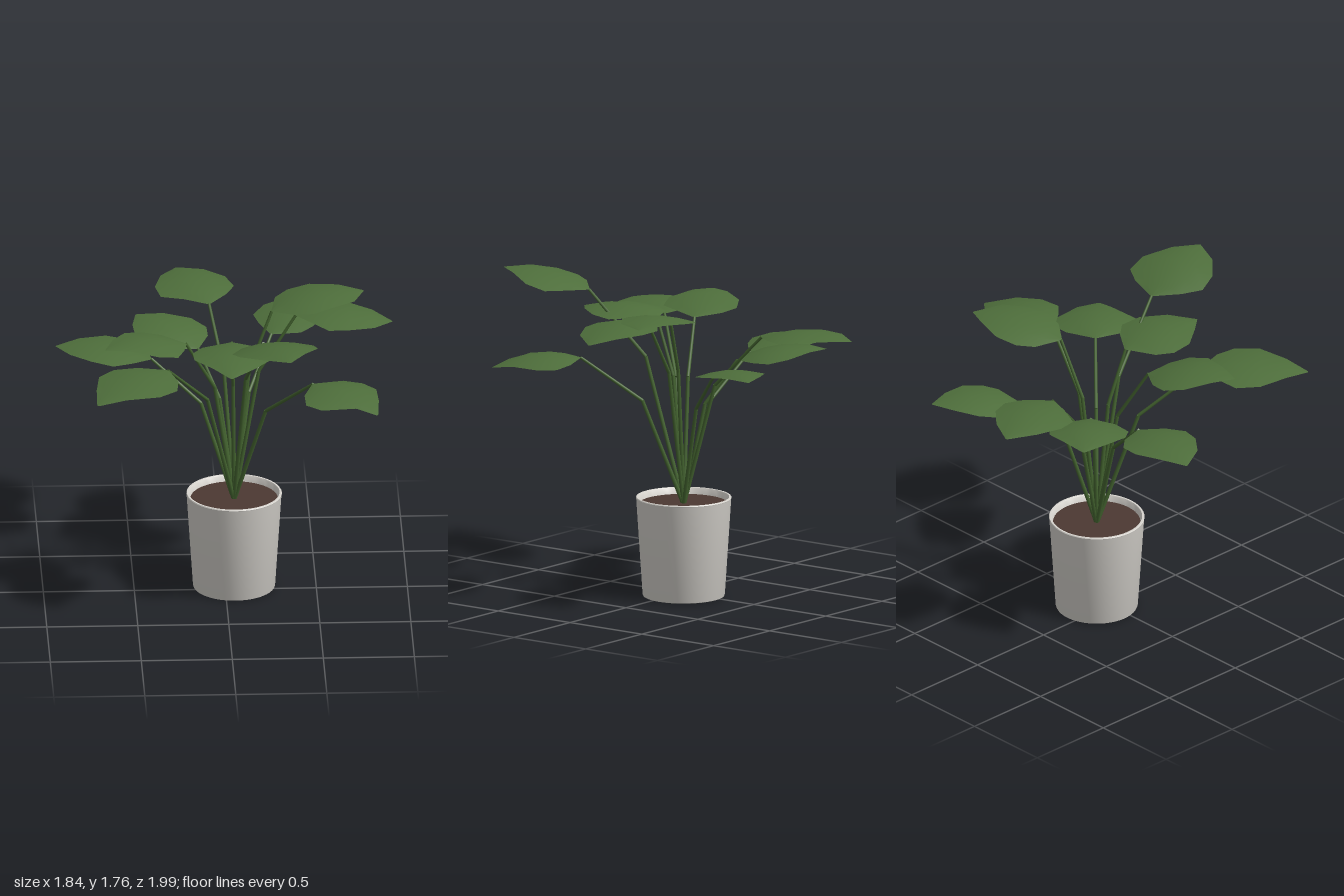
import * as THREE from 'three';
import { toCreasedNormals } from 'three/addons/utils/BufferGeometryUtils.js';

const CX = 0.05, CZ = -0.05; // pot axis

// One entry per leaf: base point, tip point, and half widths (near base, middle,
// near tip) of its left and right side as fractions of the leaf length.
const LEAVES = [
  { base: [-0.07, 1.49, -0.50], tip: [-0.23, 1.50, -1.00], left: [0.22, 0.43, 0.25], right: [0.25, 0.40, 0.23] },
  { base: [0.27, 1.33, -0.44], tip: [0.51, 1.375, -0.86], left: [0.24, 0.41, 0.23], right: [0.30, 0.38, 0.19] },
  { base: [0.26, 1.60, -0.12], tip: [0.77, 1.64, -0.30], left: [0.29, 0.39, 0.20], right: [0.24, 0.35, 0.26] },
  { base: [0.39, 1.60, -0.06], tip: [0.92, 1.55, -0.07], left: [0.25, 0.38, 0.20], right: [0.23, 0.41, 0.27] },
  { base: [0.47, 1.355, 0.34], tip: [0.81, 1.31, 0.69], left: [0.33, 0.48, 0.23], right: [0.30, 0.46, 0.14] },
  { base: [0.19, 1.67, 0.50], tip: [0.32, 1.755, 0.99], left: [0.30, 0.48, 0.23], right: [0.29, 0.46, 0.28] },
  { base: [0.03, 1.53, 0.15], tip: [0.01, 1.53, 0.67], left: [0.26, 0.43, 0.24], right: [0.31, 0.42, 0.20] },
  { base: [-0.22, 1.50, 0.085], tip: [-0.67, 1.56, 0.31], left: [0.24, 0.42, 0.18], right: [0.28, 0.41, 0.20] },
  { base: [-0.33, 1.465, 0.38], tip: [-0.73, 1.44, 0.81], left: [0.26, 0.40, 0.18], right: [0.24, 0.40, 0.19] },
  { base: [-0.40, 1.31, -0.16], tip: [-0.92, 1.34, -0.29], left: [0.23, 0.38, 0.24], right: [0.25, 0.37, 0.19] },
  { base: [-0.14, 1.32, -0.275], tip: [-0.466, 1.375, -0.64], left: [0.29, 0.46, 0.25], right: [0.30, 0.45, 0.23] },
];

// Arched blade: cross-sections along the midrib, drooping towards both edges
function leafGeometry({ base, tip, left, right }) {
  const stations = [0, 0.15, 0.32, 0.55, 0.8, 1];
  const columns = [-1, -0.5, 0, 0.5, 1];
  const widths = (w) => [0.02, w[0], w[1] * 0.98, w[1] * 0.94, w[2], 0.01];
  const wl = widths(left), wr = widths(right);
  const dx = tip[0] - base[0], dz = tip[2] - base[2];
  const positions = [], index = [];
  stations.forEach((u, i) => {
    for (const c of columns) {
      const v = c * (c < 0 ? wl[i] : wr[i]);
      const y = base[1] + (tip[1] - base[1]) * u + 0.045 * Math.sin(Math.PI * u) - 0.04 * (v / 0.45) ** 2;
      positions.push(base[0] + dx * u - dz * v, y, base[2] + dz * u + dx * v);
    }
  });
  const n = columns.length;
  for (let i = 0; i < stations.length - 1; i++) {
    for (let j = 0; j < n - 1; j++) {
      const a = i * n + j, b = a + n;
      index.push(a, a + 1, b, a + 1, b + 1, b);
    }
  }
  const geometry = new THREE.BufferGeometry();
  geometry.setAttribute('position', new THREE.Float32BufferAttribute(positions, 3));
  geometry.setIndex(index);
  geometry.computeVertexNormals();
  return geometry;
}

// Tapered rod between two points
function rod(from, to, r0, r1, material, name) {
  const dir = to.clone().sub(from);
  const mesh = new THREE.Mesh(new THREE.CylinderGeometry(r1, r0, dir.length(), 8), material);
  mesh.position.copy(from).addScaledVector(dir, 0.5);
  mesh.quaternion.setFromUnitVectors(new THREE.Vector3(0, 1, 0), dir.normalize());
  mesh.name = name;
  return mesh;
}

export function createModel() {
  const potMat = new THREE.MeshStandardMaterial({ name: 'pale ceramic', color: 0xd8d5cf });
  const soilMat = new THREE.MeshStandardMaterial({ name: 'brown soil', color: 0x4c3932 });
  const stemMat = new THREE.MeshStandardMaterial({ name: 'stem green', color: 0x43632f });
  const leafMat = new THREE.MeshStandardMaterial({ name: 'leaf green', color: 0x4e6e3b, side: THREE.DoubleSide });

  const model = new THREE.Group();
  model.name = 'pottedPlant';

  // Tapered pot with a softened foot and rim
  const profile = [
    [0, 0], [0.217, 0], [0.223, 0.003], [0.226, 0.01], [0.261, 0.545], [0.263, 0.551],
    [0.26, 0.556], [0.25, 0.556], [0.246, 0.551], [0.237, 0.49],
  ].map(([r, y]) => new THREE.Vector2(r, y));
  const pot = new THREE.Mesh(toCreasedNormals(new THREE.LatheGeometry(profile, 48), 0.7), potMat);
  pot.name = 'pot';
  pot.position.set(CX, 0, CZ);
  model.add(pot);

  // Soil disc
  const soil = new THREE.Mesh(new THREE.CylinderGeometry(0.24, 0.236, 0.02, 48), soilMat);
  soil.name = 'soil';
  soil.position.set(CX, 0.51, CZ);
  model.add(soil);

  // Bent stems, each carrying one leaf
  for (const data of LEAVES) {
    const plantPart = new THREE.Group();
    plantPart.name = 'leafWithStem';
    const start = new THREE.Vector3(CX, 0.51, CZ);
    const end = new THREE.Vector3(...data.base);
    const bend = new THREE.Vector3(0, start.y + (end.y - start.y) * 0.7, 0);
    bend.x = start.x + (end.x - start.x) * 0.4;
    bend.z = start.z + (end.z - start.z) * 0.4;
    plantPart.add(rod(start, bend, 0.012, 0.01, stemMat, 'lowerStem'));
    plantPart.add(rod(bend, end, 0.01, 0.008, stemMat, 'upperStem'));
    const leaf = new THREE.Mesh(leafGeometry(data), leafMat);
    leaf.name = 'leaf';
    plantPart.add(leaf);
    model.add(plantPart);
  }
  return model;
}
